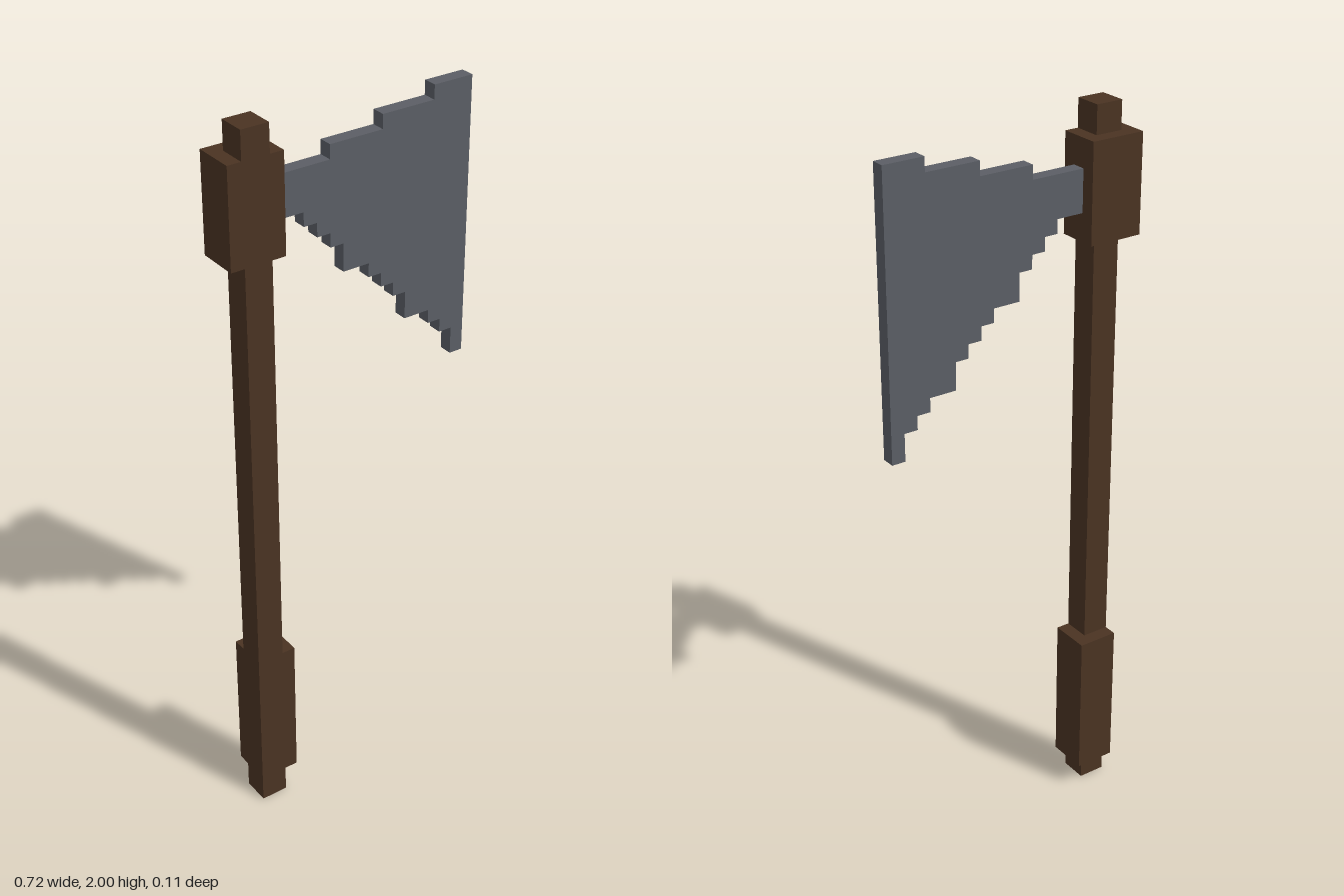
import * as THREE from 'three';

// The model sits on a cell grid: 19 wide, 53 high, 3 deep
const U = 2 / 53;
const gx = (i) => (i - 9.5) * U;
const gy = (j) => j * U;
const gz = (k) => (k - 1.5) * U;

const wood = new THREE.MeshStandardMaterial({ name: 'dark wood', color: 0x4a3322 });
const steel = new THREE.MeshStandardMaterial({ name: 'grey steel', color: 0x5b5e65 });

// Box spanning grid cells [x0,x1] x [y0,y1] x [z0,z1]
function block(name, [x0, x1], [y0, y1], [z0, z1]) {
  const geo = new THREE.BoxGeometry((x1 - x0) * U, (y1 - y0) * U, (z1 - z0) * U);
  const mesh = new THREE.Mesh(geo, wood);
  mesh.name = name;
  mesh.position.set(gx((x0 + x1) / 2), gy((y0 + y1) / 2), gz((z0 + z1) / 2));
  return mesh;
}

// Stepped blade outline: each step is [end column, height]
function blade() {
  const lower = [[6, 46], [7, 45], [8, 44], [9, 43], [11, 41], [12, 40],
    [13, 39], [14, 38], [16, 36], [17, 35], [18, 34], [19, 32]];
  const upper = [[8, 49], [12, 50], [16, 51], [19, 52]];
  const trace = (steps) => {
    let x = 4;
    return steps.flatMap(([end, y]) => {
      const run = [new THREE.Vector2(gx(x), gy(y)), new THREE.Vector2(gx(end), gy(y))];
      x = end;
      return run;
    });
  };
  const shape = new THREE.Shape([...trace(lower), ...trace(upper).reverse()]);
  const geo = new THREE.ExtrudeGeometry(shape, { depth: U, bevelEnabled: false });
  geo.translate(0, 0, gz(1));
  const mesh = new THREE.Mesh(geo, steel);
  mesh.name = 'blade';
  return mesh;
}

export function createModel() {
  const axe = new THREE.Group();
  axe.name = 'axe';
  axe.add(
    // Shaft sections between the thicker grip and head block
    block('shaftEnd', [1, 3], [0, 2], [1, 3]),
    block('grip', [1, 4], [2, 13], [0, 3]),
    block('shaft', [1, 3], [13, 44], [1, 3]),
    block('headBlock', [0, 4], [44, 51], [0, 3]),
    block('shaftTip', [1, 3], [51, 53], [1, 3]),
    blade(),
  );
  return axe;
}
